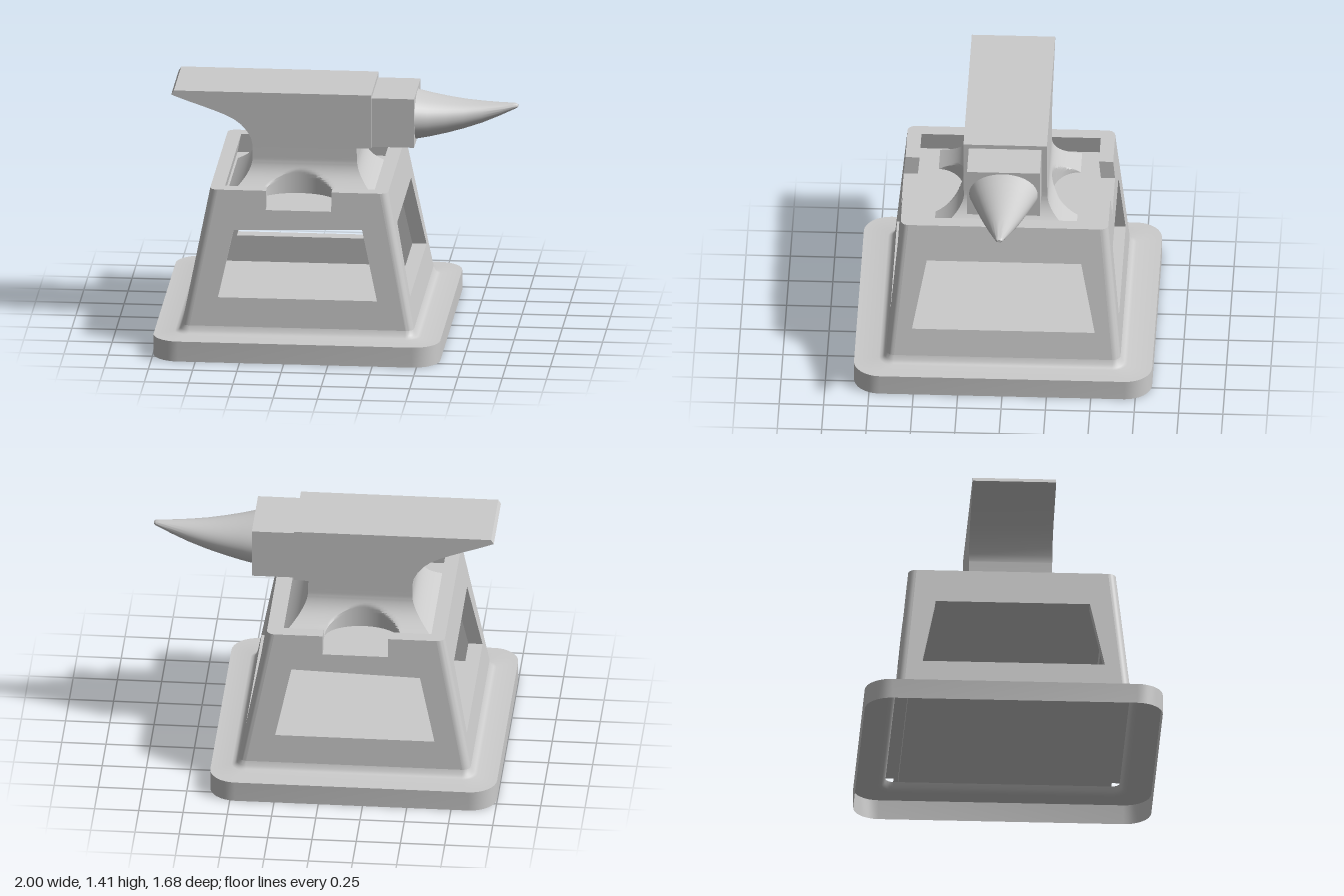
import * as THREE from 'three';
import { toCreasedNormals } from 'three/addons/utils/BufferGeometryUtils.js';

const CX = -0.188; // centre of the stand in x
const WALL = 0.08; // wall thickness
const Y0 = 0.16, Y1 = 0.94; // bottom and top of the sloping walls
const lerp = THREE.MathUtils.lerp;
const halfX = (y) => lerp(0.655, 0.503, (y - Y0) / (Y1 - Y0));
const halfZ = (y) => lerp(0.66, 0.585, (y - Y0) / (Y1 - Y0));
const CORNER = 0.045;

const grey = new THREE.MeshStandardMaterial({ color: 0xcccccc });
const greyThin = new THREE.MeshStandardMaterial({ color: 0xcccccc, side: THREE.DoubleSide });

function add(parent, name, geometry, material = grey) {
  const mesh = new THREE.Mesh(geometry, material);
  mesh.name = name;
  parent.add(mesh);
  return mesh;
}

// Skin closed rings of [x, y, z] points, with an optional fan over the last ring
function loft(rings, cap = true, crease = 0.6) {
  const n = rings[0].length;
  const index = [];
  for (let i = 0; i < rings.length - 1; i++) {
    for (let j = 0; j < n; j++) {
      const a = i * n + j, b = i * n + (j + 1) % n;
      index.push(a, b, b + n, a, b + n, a + n);
    }
  }
  const points = rings.flat();
  if (cap) {
    const last = rings[rings.length - 1];
    const centre = [0, 1, 2].map((k) => last.reduce((s, p) => s + p[k], 0) / n);
    const start = (rings.length - 1) * n;
    for (let j = 0; j < n; j++) index.push(points.length, start + j, start + (j + 1) % n);
    points.push(centre);
  }
  const g = new THREE.BufferGeometry();
  g.setAttribute('position', new THREE.Float32BufferAttribute(points.flat(), 3));
  g.setIndex(index);
  return toCreasedNormals(g, crease);
}

// Quarter arc of a rounded rectangle, quadrant q, counter-clockwise from above
function cornerArc(q, hx, hz, r, y, steps = 8) {
  const sx = q === 0 || q === 3 ? 1 : -1, sz = q < 2 ? -1 : 1;
  return Array.from({ length: steps + 1 }, (_, i) => {
    const a = (q + i / steps) * Math.PI / 2;
    return [CX + sx * (hx - r) + r * Math.cos(a), y, sz * (hz - r) - r * Math.sin(a)];
  });
}

// Sloping wall panel facing +z, with a window and an optional notch in its top edge
function wallGeometry(halfWidth, halfDepth, windowCorners, notch) {
  const bottom = halfWidth(Y0) - CORNER, top = halfWidth(Y1) - CORNER;
  const outline = [[-bottom, Y0], [bottom, Y0], [top, Y1]];
  if (notch) outline.push([0.185, Y1], [0.185, 0.83], [-0.185, 0.83], [-0.185, Y1]);
  outline.push([-top, Y1]);
  const toPoints = (list) => list.map(([u, y]) => new THREE.Vector2(u, y));
  const shape = new THREE.Shape(toPoints(outline));
  shape.holes.push(new THREE.Path(toPoints(windowCorners)));
  const g = new THREE.ExtrudeGeometry(shape, { depth: WALL, bevelEnabled: false });
  const p = g.attributes.position;
  for (let i = 0; i < p.count; i++) p.setZ(i, p.getZ(i) - WALL + halfDepth(p.getY(i)));
  g.computeVertexNormals();
  return g;
}

function createStand() {
  const stand = new THREE.Group();
  stand.name = 'stand';

  // Hollow plinth with a fillet up to the walls: half x, half z, corner radius, height
  const profile = [
    [0.81, 0.84, 0.15, 0], [0.81, 0.84, 0.15, 0.117], [0.695, 0.7, 0.085, 0.117],
    [0.678, 0.683, 0.068, 0.121], [0.665, 0.67, 0.055, 0.135], [0.655, 0.66, CORNER, Y0],
  ];
  const rings = profile.map(([hx, hz, r, y]) => [0, 1, 2, 3].flatMap((q) => cornerArc(q, hx, hz, r, y)));
  add(stand, 'plinth', loft(rings, false), greyThin);

  // Floor inside the walls
  const floor = add(stand, 'floor', new THREE.BoxGeometry(1.17, 0.04, 1.18));
  floor.position.set(CX, 0.15, 0);

  // Four walls with windows
  const longWindow = [[-0.452, 0.325], [0.448, 0.325], [0.36, 0.73], [-0.367, 0.71]];
  const mirrored = longWindow.map(([u, y]) => [-u, y]);
  const sideWindow = [[-0.515, 0.32], [0.515, 0.32], [0.435, 0.73], [-0.435, 0.73]];
  const walls = [
    ['frontWall', 0, wallGeometry(halfX, halfZ, longWindow, true)],
    ['backWall', Math.PI, wallGeometry(halfX, halfZ, mirrored, true)],
    ['leftWall', Math.PI / 2, wallGeometry(halfZ, halfX, sideWindow, false)],
    ['rightWall', -Math.PI / 2, wallGeometry(halfZ, halfX, sideWindow, false)],
  ];
  for (const [name, turn, geometry] of walls) {
    const wall = add(stand, name, geometry);
    wall.rotation.y = turn;
    wall.position.x = CX;
  }

  // Rounded corner posts between the walls
  for (let q = 0; q < 4; q++) {
    const posts = [Y0, Y1].map((y) => {
      const arc = cornerArc(q, halfX(y), halfZ(y), CORNER, y);
      const sx = q === 0 || q === 3 ? 1 : -1, sz = q < 2 ? -1 : 1;
      return [...arc, [CX + sx * (halfX(y) - CORNER), y, sz * (halfZ(y) - CORNER)]];
    });
    add(stand, 'cornerPost', loft(posts));
  }

  // Deck that carries the anvil, level with the notches
  const deck = add(stand, 'deck', new THREE.BoxGeometry(0.92, 0.07, 1.04));
  deck.position.set(CX, 0.795, 0);
  return stand;
}

function createAnvil() {
  const anvil = new THREE.Group();
  anvil.name = 'anvil';

  // Body rows: height, right end, left end, half depth
  const rows = [];
  for (let i = 0; i <= 20; i++) {
    const t = 1 - i / 20;
    rows.push([1.03 - 0.2 * t, -0.48 - 0.14 * t ** 2, 0.11 + 0.13 * t ** 2, 0.235 + 0.165 * t ** 2.2]);
  }
  rows.push([1.098, -0.48, 0.108, 0.235], [1.1, -0.48, 0.19, 0.235]);
  const heel = [[1.14, -0.488], [1.18, -0.51], [1.22, -0.545], [1.25, -0.585], [1.275, -0.635],
    [1.3, -0.7], [1.325, -0.77], [1.35, -0.845], [1.385, -0.94], [1.41, -0.925]];
  for (const [y, x] of heel) rows.push([y, x, 0.19, 0.235]);

  // Elliptical scoops are cut into the front and back of the flared foot
  const steps = 28, scoopX = -0.21, scoopR = 0.215;
  const bodyRings = rows.map(([y, x0, x1, z]) => {
    const front = [[x0, y, z]];
    for (let i = 0; i <= steps; i++) {
      const a = Math.PI * i / steps;
      front.push([scoopX - scoopR * Math.cos(a), y, Math.min(z, 0.4 - 0.152 * Math.sin(a))]);
    }
    front.push([x1, y, z]);
    const back = front.map(([x, h, d]) => [x, h, -d]).reverse();
    return [...front, ...back];
  });
  add(anvil, 'anvilBody', loft(bodyRings));

  // Step block between body and horn
  const block = add(anvil, 'stepBlock', new THREE.BoxGeometry(0.25, 0.285, 0.41));
  block.position.set(0.305, 1.2425, 0);

  // Horn sections: x, underside, top, half width
  const sections = [
    [0.42, 1.103, 1.377, 0.197], [0.5, 1.117, 1.36, 0.17], [0.6, 1.14, 1.343, 0.138],
    [0.7, 1.168, 1.33, 0.107], [0.8, 1.202, 1.323, 0.076], [0.9, 1.245, 1.319, 0.047],
    [0.97, 1.279, 1.318, 0.027], [0.99, 1.288, 1.317, 0.022], [1.0, 1.295, 1.31, 0.012],
  ];
  const hornRings = sections.map(([x, low, high, w]) => Array.from({ length: 40 }, (_, j) => {
    const a = j / 40 * Math.PI * 2;
    return [x, (low + high) / 2 + (high - low) / 2 * Math.cos(a), w * Math.sin(a)];
  }));
  add(anvil, 'horn', loft(hornRings));
  return anvil;
}

export function createModel() {
  const model = new THREE.Group();
  model.name = 'anvilOnStand';
  model.add(createStand(), createAnvil());
  return model;
}
